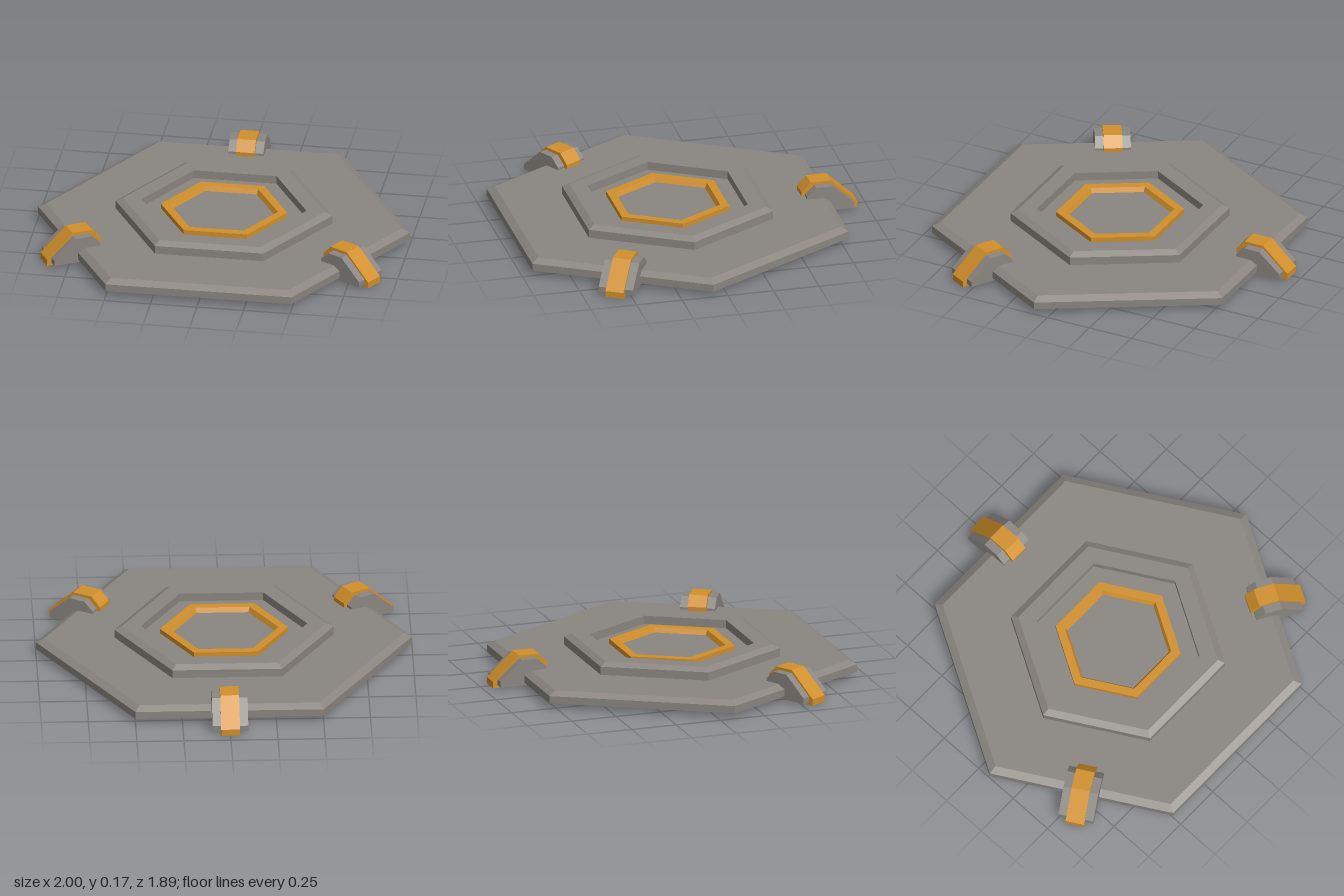
import * as THREE from 'three';

function material(name, color) {
  return new THREE.MeshStandardMaterial({ name, color, side: THREE.DoubleSide });
}

// Six-sided shell with flat facets, turned from [radius, height] points
function hexShell(name, points, mat) {
  const lathe = new THREE.LatheGeometry(points.map(([r, y]) => new THREE.Vector2(r, y)), 6, Math.PI / 6);
  const geometry = lathe.toNonIndexed();
  geometry.computeVertexNormals();
  const mesh = new THREE.Mesh(geometry, mat);
  mesh.name = name;
  return mesh;
}

// Hollow bracket: an extruded side profile with its underside left open
function openBracket(name, points, width, mat) {
  const shape = new THREE.Shape(points.map(([x, y]) => new THREE.Vector2(x, y)));
  const solid = new THREE.ExtrudeGeometry(shape, { depth: width, bevelEnabled: false });
  solid.translate(0, 0, -width / 2);
  const p = solid.attributes.position;
  const floor = Math.min(...points.map((q) => q[1])) + 1e-4;
  const kept = [];
  for (let i = 0; i < p.count; i += 3) {
    if (p.getY(i) < floor && p.getY(i + 1) < floor && p.getY(i + 2) < floor) continue;
    for (let k = i; k < i + 3; k++) kept.push(p.getX(k), p.getY(k), p.getZ(k));
  }
  const geometry = new THREE.BufferGeometry();
  geometry.setAttribute('position', new THREE.Float32BufferAttribute(kept, 3));
  geometry.computeVertexNormals();
  const mesh = new THREE.Mesh(geometry, mat);
  mesh.name = name;
  return mesh;
}

export function createModel() {
  const model = new THREE.Group();
  model.name = 'hexagonalPad';
  const grey = material('warm grey', 0x8a8580);
  const orange = material('amber', 0xd18f2a);

  const pad = new THREE.Group();
  pad.name = 'pad';
  pad.position.z = 0.08;
  model.add(pad);

  // Base plate, raised tier and recessed centre, open underneath
  pad.add(hexShell('platform', [
    [1, 0.03], [1, 0.07], [0.955, 0.092], [0.583, 0.092], [0.583, 0.137],
    [0.543, 0.157], [0.443, 0.157], [0.443, 0.112], [0, 0.112],
  ], grey));

  // Ring in the recess
  pad.add(hexShell('centreRing', [
    [0.34, 0.095], [0.34, 0.138], [0.29, 0.138], [0.275, 0.11],
  ], orange));

  // Three clamps on alternate edges
  for (let i = 0; i < 3; i++) {
    const clamp = new THREE.Group();
    clamp.name = 'clamp' + (i + 1);
    clamp.add(openBracket('clampBody', [
      [0.74, 0.015], [1.0, 0.015], [1.0, 0.045], [0.88, 0.153], [0.79, 0.153], [0.74, 0.105],
    ], 0.19, grey));
    clamp.add(openBracket('clampStrap', [
      [0.72, 0], [1.025, 0], [1.025, 0.035], [0.88, 0.168], [0.77, 0.168], [0.72, 0.115],
    ], 0.1, orange));
    clamp.rotation.y = Math.PI / 2 + (i * Math.PI * 2) / 3;
    pad.add(clamp);
  }
  return model;
}
